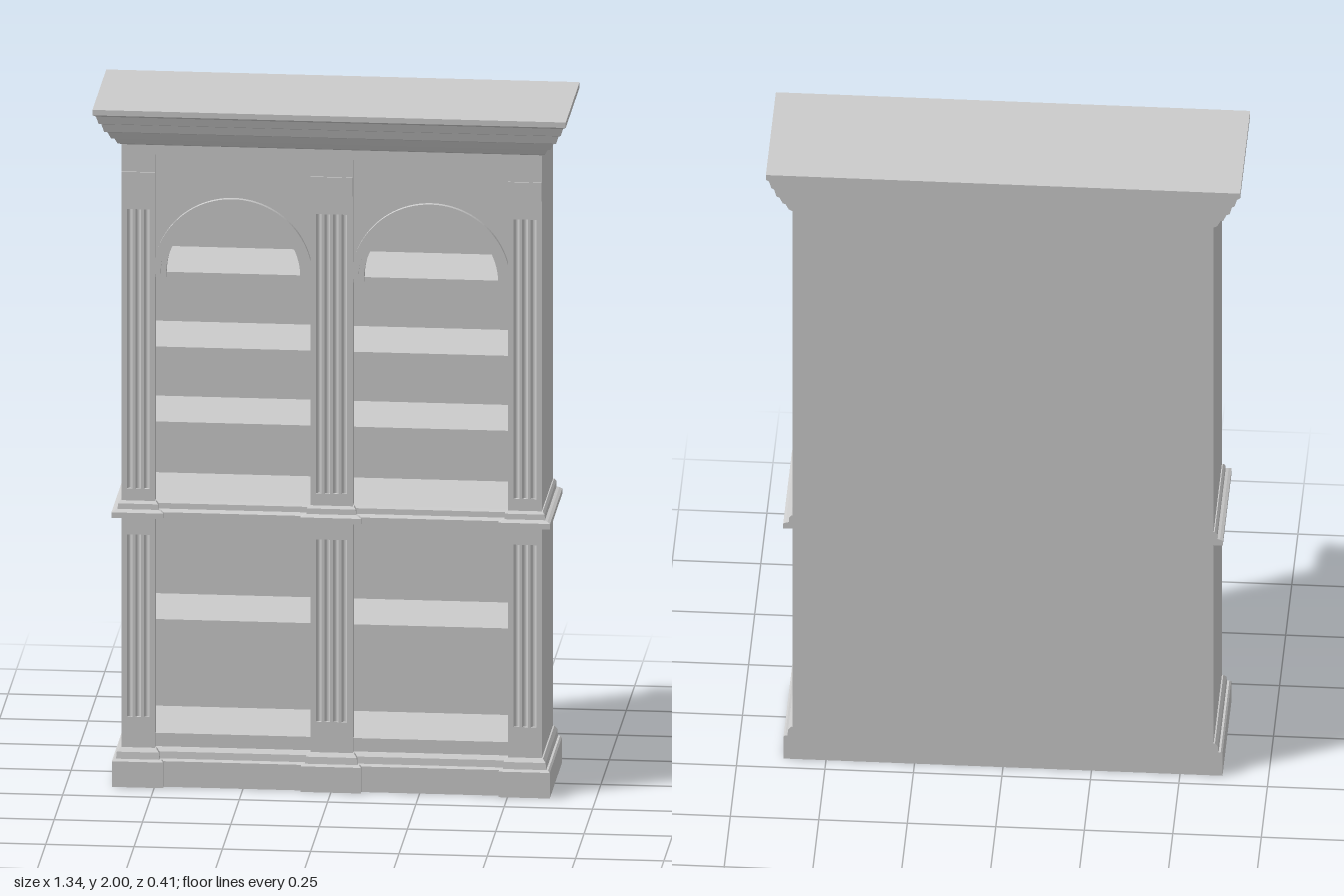
import * as THREE from 'three';

const X = 0.595, FRONT = 0.13, BACK = -0.205;   // carcass limits
const IN = 0.06, OUT = 0.5, MID = 0.28;         // inner/outer edge and centre of a bay
const mat = new THREE.MeshStandardMaterial({ color: 0xcccccc, side: THREE.DoubleSide });

function add(parent, name, geo) {
  const m = new THREE.Mesh(geo, mat);
  m.name = name;
  parent.add(m);
  return m;
}

// box given by its limits
function box(parent, name, x0, x1, y0, y1, z0, z1) {
  const m = add(parent, name, new THREE.BoxGeometry(x1 - x0, y1 - y0, z1 - z0));
  m.position.set((x0 + x1) / 2, (y0 + y1) / 2, (z0 + z1) / 2);
  return m;
}

// plan outline grown by o; the bays sit back by step between the pilasters
function plan(o, step) {
  const f = FRONT + o, b = BACK - Math.min(o, 0), r = f - step;
  const half = [[IN + o, f], [IN + o, r], [OUT - o, r], [OUT - o, f], [X + o, f], [X + o, b]];
  return [...half.map(([x, z]) => [-x, z]).reverse(), ...half];
}

// moulding: [y, offset] profile carried round the plan, mitred at the corners
function moulding(parent, name, profile, step, capped) {
  const pos = [];
  const rings = profile.map(([y, o]) => plan(o, step).map(([x, z]) => [x, y, z]));
  for (let k = 0; k + 1 < rings.length; k++) {
    const lo = rings[k], hi = rings[k + 1], n = lo.length;
    for (let i = 0; i < n; i++) {
      const j = (i + 1) % n;
      pos.push(...lo[i], ...lo[j], ...hi[j], ...lo[i], ...hi[j], ...hi[i]);
    }
  }
  if (capped) {
    [[rings[0], -1], [rings[rings.length - 1], 1]].forEach(([ring, dir]) => {
      const pts = ring.map(p => new THREE.Vector2(p[0], p[2]));
      for (const [a, b, c] of THREE.ShapeUtils.triangulateShape(pts, [])) {
        const A = pts[a], B = pts[b], C = pts[c];
        const up = (B.y - A.y) * (C.x - A.x) - (B.x - A.x) * (C.y - A.y);
        if (up * dir > 0) pos.push(...ring[a], ...ring[b], ...ring[c]);
        else pos.push(...ring[a], ...ring[c], ...ring[b]);
      }
    });
  }
  const g = new THREE.BufferGeometry();
  g.setAttribute('position', new THREE.Float32BufferAttribute(pos, 3));
  g.computeVertexNormals();
  return add(parent, name, g);
}

// fluted shaft: section with round grooves, extruded upwards
function flutedShaft(parent, cx, w, count, y0, y1) {
  const s = new THREE.Shape(), r = 0.008, gap = 0.024, back = -(FRONT - 0.03);
  s.moveTo(-w / 2, back);
  s.lineTo(-w / 2, -FRONT);
  for (let i = 0; i < count; i++) {
    const x = (i - (count - 1) / 2) * gap;
    s.lineTo(x - r, -FRONT);
    s.absarc(x, -FRONT, r, Math.PI, 0, true);
  }
  s.lineTo(w / 2, -FRONT);
  s.lineTo(w / 2, back);
  const g = new THREE.ExtrudeGeometry(s, { depth: y1 - y0, bevelEnabled: false, curveSegments: 6 });
  g.rotateX(-Math.PI / 2);
  add(parent, 'flutedShaft', g).position.set(cx, y0, 0);
}

// pilaster: plain blocks, lower and upper fluted shafts, slim capital
function pilaster(parent, name, cx, w, count) {
  const g = new THREE.Group();
  g.name = name;
  parent.add(g);
  const block = (y0, y1) => box(g, 'pilasterBlock', cx - w / 2, cx + w / 2, y0, y1, FRONT - 0.03, FRONT);
  block(0.1, 0.2);
  flutedShaft(g, cx, w, count, 0.2, 0.735);
  block(0.735, 0.79);
  block(0.835, 0.87);
  flutedShaft(g, cx, w, count, 0.87, 1.69);
  block(1.69, 1.88);
  box(g, 'capital', cx - w / 2, cx + w / 2, 1.745, 1.8, FRONT - 0.02, FRONT + 0.004);
}

// half ring of the arch trim
function archRing(r0, r1) {
  const s = new THREE.Shape();
  s.absarc(0, 0, r1, 0, Math.PI, false);
  s.absarc(0, 0, r0, Math.PI, 0, true);
  return s;
}

// one bay: shelves, arched panel, arch trim
function bay(parent, name, side) {
  const g = new THREE.Group();
  g.name = name;
  parent.add(g);
  const a = side * 0.012, b = side * 0.577, x0 = Math.min(a, b), x1 = Math.max(a, b);
  for (const y of [0.48, 1.06, 1.28, 1.5]) box(g, 'shelf', x0, x1, y - 0.016, y, -0.16, 0.1);

  const w = (OUT - IN) / 2, r = 0.19, spring = 1.5, cx = side * MID;
  const s = new THREE.Shape();
  s.moveTo(-w, 0);
  s.lineTo(-w, 0.35);
  s.lineTo(w, 0.35);
  s.lineTo(w, 0);
  s.lineTo(r, 0);
  s.absarc(0, 0, r, 0, Math.PI, false);
  s.lineTo(-w, 0);
  const opts = depth => ({ depth, bevelEnabled: false, curveSegments: 32 });
  add(g, 'archedPanel', new THREE.ExtrudeGeometry(s, opts(0.02))).position.set(cx, spring, 0.09);
  add(g, 'archTrimInner', new THREE.ExtrudeGeometry(archRing(r, 0.207), opts(0.026))).position.set(cx, spring, 0.09);
  add(g, 'archTrimOuter', new THREE.ExtrudeGeometry(archRing(0.205, 0.225), opts(0.034))).position.set(cx, spring, 0.09);
  // short feet below the arch trim
  for (const e of [-1, 1]) {
    const c = cx + e * 0.205;
    box(g, 'archFoot', c - 0.015, c + 0.015, 1.488, spring, 0.09, 0.116);
  }
}

export function createModel() {
  const model = new THREE.Group();
  model.name = 'bookcase';

  // carcass
  box(model, 'backPanel', -X, X, 0.08, 1.88, BACK, -0.16);
  for (const s of [-1, 1]) {
    const a = s * 0.577, b = s * X;
    box(model, 'sidePanel', Math.min(a, b), Math.max(a, b), 0.1, 1.88, BACK, 0.105);
  }
  box(model, 'divider', -0.012, 0.012, 0.13, 1.86, -0.17, 0.105);
  box(model, 'floor', -0.58, 0.58, 0.13, 0.15, -0.17, 0.112);
  box(model, 'bottomRail', -OUT, OUT, 0.1, 0.15, 0.08, 0.113);
  box(model, 'topRail', -OUT, OUT, 1.85, 1.88, -0.17, 0.125);

  // front
  for (const s of [-1, 1]) {
    pilaster(model, s > 0 ? 'leftPilaster' : 'rightPilaster', s * (OUT + X) / 2, X - OUT, 3);
    bay(model, s > 0 ? 'leftBay' : 'rightBay', s);
  }
  pilaster(model, 'centrePilaster', 0, IN * 2, 4);

  // hollow plinth, waist moulding and cornice
  moulding(model, 'plinth', [[0.13, -0.03], [0.1, -0.03], [0.1, -0.015], [0.06, -0.015], [0.06, -0.005],
    [0, -0.005], [0, 0.025], [0.075, 0.025], [0.08, 0.02], [0.08, 0.014], [0.1, 0.012], [0.11, 0.004],
    [0.112, -0.01]], 0.015, false);
  moulding(model, 'waistMoulding', [[0.79, 0], [0.79, 0.026], [0.806, 0.026], [0.81, 0.018],
    [0.812, 0.01], [0.828, 0.009], [0.835, 0.003]], 0.015, true);
  moulding(model, 'cornice', [[1.88, 0], [1.885, 0.01], [1.904, 0.02], [1.904, 0.027], [1.924, 0.036],
    [1.928, 0.045], [1.952, 0.052], [1.955, 0.059], [1.978, 0.066], [1.984, 0.075], [2, 0.075]], 0, true);

  return model;
}
